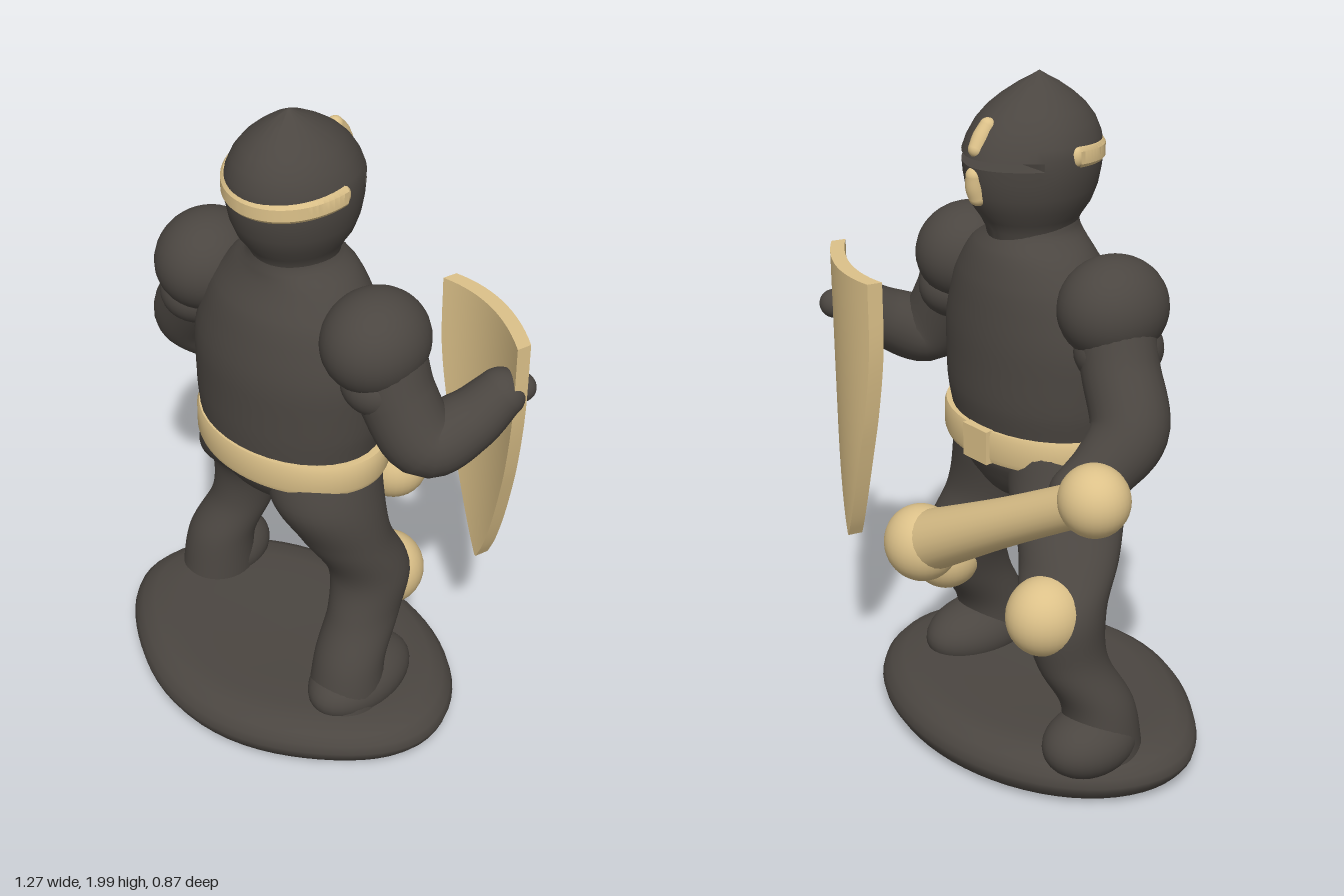
import * as THREE from 'three';
import { mergeVertices, toCreasedNormals } from 'three/addons/utils/BufferGeometryUtils.js';

const V = (x, y, z) => new THREE.Vector3(x, y, z);

export function createModel() {
  const group = new THREE.Group();
  const dark = new THREE.MeshStandardMaterial({ color: 0x4b4641 });
  dark.name = 'dark body';
  const tan = new THREE.MeshStandardMaterial({ color: 0xdcc189 });
  tan.name = 'tan trim';

  function add(name, geometry, material) {
    const mesh = new THREE.Mesh(geometry, material);
    mesh.name = name;
    group.add(mesh);
    return mesh;
  }

  function ball(name, material, [x, y, z], [rx, ry, rz]) {
    const g = new THREE.SphereGeometry(1, 32, 20);
    g.scale(rx, ry, rz);
    return add(name, g.translate(x, y, z), material);
  }

  // move every vertex by a rule
  function bend(geometry, rule) {
    const p = geometry.attributes.position;
    for (let i = 0; i < p.count; i++) p.setXYZ(i, ...rule(p.getX(i), p.getY(i), p.getZ(i)));
    return geometry;
  }

  // smooth body of elliptical rings, listed top to bottom: [y, cx, cz, rx, rz]
  function stack(name, material, rings) {
    const centre = new THREE.CatmullRomCurve3(rings.map(r => V(r[1], r[0], r[2])));
    const radius = new THREE.CatmullRomCurve3(rings.map(r => V(r[3], 0, r[4])));
    let g = new THREE.CylinderGeometry(1, 1, 1, 36, 40, true);
    g.deleteAttribute('uv');
    g.deleteAttribute('normal');
    bend(g, (x, y, z) => {
      const t = THREE.MathUtils.clamp(0.5 - y, 0, 1);
      const c = centre.getPoint(t), r = radius.getPoint(t);
      return [c.x + x * r.x, c.y, c.z + z * r.z];
    });
    g = mergeVertices(g, 1e-5);
    g.computeVertexNormals();
    return add(name, g, material);
  }

  // round limb along a curve with varying radius: [x, y, z, r], closed by balls
  function limb(name, material, pts) {
    const curve = new THREE.CatmullRomCurve3(pts.map(p => V(p[0], p[1], p[2])));
    const radii = new THREE.CatmullRomCurve3(pts.map((p, i) => V(p[3], i, 0)));
    const n = 28, m = 24;
    const g = new THREE.TubeGeometry(curve, n, 1, m);
    const p = g.attributes.position, v = V(0, 0, 0);
    for (let i = 0; i <= n; i++) {
      const c = curve.getPointAt(i / n);
      const r = radii.getPoint(curve.getUtoTmapping(i / n)).x;
      for (let j = 0; j <= m; j++) {
        const k = i * (m + 1) + j;
        v.fromBufferAttribute(p, k).sub(c).multiplyScalar(r).add(c);
        p.setXYZ(k, v.x, v.y, v.z);
      }
    }
    add(name, g, material);
    for (const e of [pts[0], pts[pts.length - 1]]) ball(name + 'End', material, e, [e[3], e[3], e[3]]);
  }

  const lathe = (pts, seg, start, len) =>
    new THREE.LatheGeometry(pts.map(p => new THREE.Vector2(p[0], p[1])), seg, start, len);

  // oval base, slightly pointed towards +z
  const base = lathe([[0, 0.008], [0.87, 0.01], [0.95, 0.028], [0.99, 0.055], [1, 0.075], [0.985, 0.1],
    [0.94, 0.127], [0.86, 0.147], [0.72, 0.155], [0.5, 0.15], [0, 0.145]], 64);
  bend(base, (x, y, z) => {
    const k = z > 0 ? 1 - 0.055 * Math.sin(2 * Math.atan2(z, x)) ** 2 : 1;
    return [x * k, y, z * k];
  });
  add('base', base.scale(0.57, 1, 0.41).translate(-0.028, 0, 0.02), dark);

  // torso with neck and pelvis
  stack('torso', dark, [[1.62, 0, 0.03, 0.11, 0.11], [1.57, 0, 0.02, 0.125, 0.13],
    [1.52, 0, 0.01, 0.19, 0.155], [1.42, 0, 0.02, 0.26, 0.195], [1.25, 0, 0.03, 0.305, 0.22],
    [1.1, 0, 0.03, 0.3, 0.22], [1.0, 0, 0.035, 0.285, 0.21], [0.91, 0, 0.035, 0.28, 0.2],
    [0.84, 0, 0.03, 0.22, 0.165], [0.79, 0, 0.02, 0.13, 0.12], [0.76, 0, 0.02, 0.02, 0.02]]);

  // legs
  stack('rightLeg', dark, [[1.0, -0.12, 0.03, 0.15, 0.18], [0.85, -0.165, 0, 0.158, 0.175],
    [0.7, -0.275, -0.09, 0.145, 0.14], [0.58, -0.34, -0.17, 0.12, 0.125],
    [0.42, -0.37, -0.16, 0.098, 0.105], [0.28, -0.41, -0.1, 0.105, 0.105], [0.13, -0.42, -0.09, 0.112, 0.12]]);
  stack('leftLeg', dark, [[1.0, 0.13, 0.03, 0.15, 0.18], [0.85, 0.16, 0.06, 0.158, 0.17],
    [0.7, 0.2, 0.03, 0.145, 0.13], [0.55, 0.25, -0.03, 0.122, 0.12],
    [0.42, 0.265, 0.005, 0.102, 0.115], [0.28, 0.275, 0.08, 0.105, 0.105], [0.13, 0.28, 0.1, 0.112, 0.12]]);
  ball('rightFoot', dark, [-0.425, 0.175, -0.14], [0.118, 0.1, 0.15]);
  ball('leftFoot', dark, [0.28, 0.175, 0.04], [0.12, 0.1, 0.19]);
  ball('rightKneePad', tan, [-0.34, 0.578, -0.235], [0.108, 0.115, 0.115]);
  ball('leftKneePad', tan, [0.26, 0.495, -0.105], [0.108, 0.113, 0.108]);

  // belt and buckle
  const belt = lathe([[0.88, 0.925], [0.98, 0.925], [1, 0.94], [1, 1.005], [0.98, 1.02], [0.88, 1.02]], 64);
  add('belt', toCreasedNormals(belt.scale(0.307, 1, 0.226).translate(0.008, 0, 0.033), 0.6), tan);
  add('buckle', new THREE.BoxGeometry(0.1, 0.1, 0.03).translate(0, 0.972, -0.187), tan);

  // shoulders with a second layer below, and arms
  for (const s of [-1, 1]) {
    const side = s < 0 ? 'right' : 'left';
    ball(side + 'Shoulder', dark, [s * 0.305, 1.41, 0.035], [0.145, 0.145, 0.16]);
    ball(side + 'ShoulderLower', dark, [s * 0.335, 1.3, 0.03], [0.115, 0.1, 0.13]);
  }
  limb('rightArm', dark, [[-0.33, 1.36, 0.02, 0.11], [-0.375, 1.26, 0.0, 0.108],
    [-0.455, 1.12, -0.04, 0.108], [-0.44, 1.03, -0.11, 0.092], [-0.41, 0.96, -0.18, 0.082]]);
  limb('leftArm', dark, [[0.34, 1.36, 0.03, 0.11], [0.38, 1.26, 0.03, 0.108],
    [0.46, 1.135, 0.0, 0.105], [0.52, 1.17, -0.1, 0.09], [0.56, 1.235, -0.19, 0.072]]);

  // helmet with a narrowed face, a tip set back and an open eye slit across the front
  const slit = [1.777, 1.797];
  const helmet = lathe([[0.11, 1.53], [0.118, 1.58], [0.132, 1.61], [0.154, 1.645], [0.17, 1.69],
    [0.179, 1.74], [0.182, 1.775], [0.182, slit[0]], [0.182, slit[1]], [0.182, 1.799], [0.174, 1.83],
    [0.155, 1.87], [0.128, 1.905], [0.095, 1.935], [0.055, 1.965], [0.022, 1.985], [0, 2]], 56);
  helmet.scale(1, 1, 1.14).translate(0.005, 0, 0.012);
  bend(helmet, (x, y, z) => {
    const narrow = 1 - 0.2 * Math.min(1, Math.max(0, -z / 0.2)) ** 2;
    const inSlit = slit.some(h => Math.abs(y - h) < 1e-4);
    return [x * narrow, y, inSlit ? Math.max(z, -0.08) : z + 0.15 * Math.max(0, y - 1.8)];
  });
  add('helmet', toCreasedNormals(helmet, 0.7), dark);

  // band round the back of the helmet, rising towards its ends
  const band = lathe([[0.16, 1.765], [0.188, 1.765], [0.195, 1.775], [0.195, 1.81], [0.188, 1.82], [0.16, 1.82]],
    40, -1.5, 3.0);
  band.scale(0.98, 1, 1.11).translate(0.005, 0, 0.008);
  bend(band, (x, y, z) => [x, y - 0.1 * (z - 0.11), z]);
  add('helmetBand', toCreasedNormals(band, 0.6), tan);
  for (const s of [-1, 1]) ball('bandEnd', tan, [0.005 + s * 0.175, 1.801, 0.024], [0.015, 0.027, 0.02]);

  // ridge on the brow and face
  limb('browRidge', tan, [[0.008, 1.878, -0.138, 0.023], [0.008, 1.85, -0.16, 0.025], [0.008, 1.822, -0.177, 0.023]]);
  limb('faceRidge', tan, [[0.008, 1.75, -0.184, 0.025], [0.008, 1.72, -0.182, 0.028], [0.008, 1.69, -0.174, 0.026]]);

  // curved, leaning shield tapering to a point
  const outline = new THREE.CatmullRomCurve3([[1.41, 1], [1.2, 0.98], [1.0, 0.82], [0.85, 0.62],
    [0.7, 0.38], [0.6, 0.18], [0.54, 0.02]].map(p => V(p[1], p[0], 0)));
  const shield = bend(new THREE.BoxGeometry(2, 1, 1, 14, 24, 1), (x, y, z) => {
    const edge = outline.getPoint(THREE.MathUtils.clamp(0.5 - y, 0, 1));
    const s = x * edge.x, thick = z > 0 ? 0.042 : 0, lean = 0.023 * (1.41 - edge.y);
    return [0.447 + 0.18 * s - thick * 0.3 + lean, edge.y, -0.335 + 0.07 * s + 0.045 * s * s + thick + lean];
  });
  add('shield', toCreasedNormals(shield, 0.7), tan);
  ball('shieldStud', dark, [0.583, 1.235, -0.25], [0.045, 0.042, 0.042]);

  // club with a knob at each end
  const knob = [-0.54, 1.01, -0.243], head = [0.087, 0.67, -0.33];
  limb('clubShaft', tan, [[...knob, 0.06], [-0.23, 0.842, -0.286, 0.069], [...head, 0.092]]);
  ball('clubKnob', tan, knob, [0.1, 0.1, 0.096]);
  ball('clubHead', tan, head, [0.112, 0.112, 0.106]);

  return group;
}
